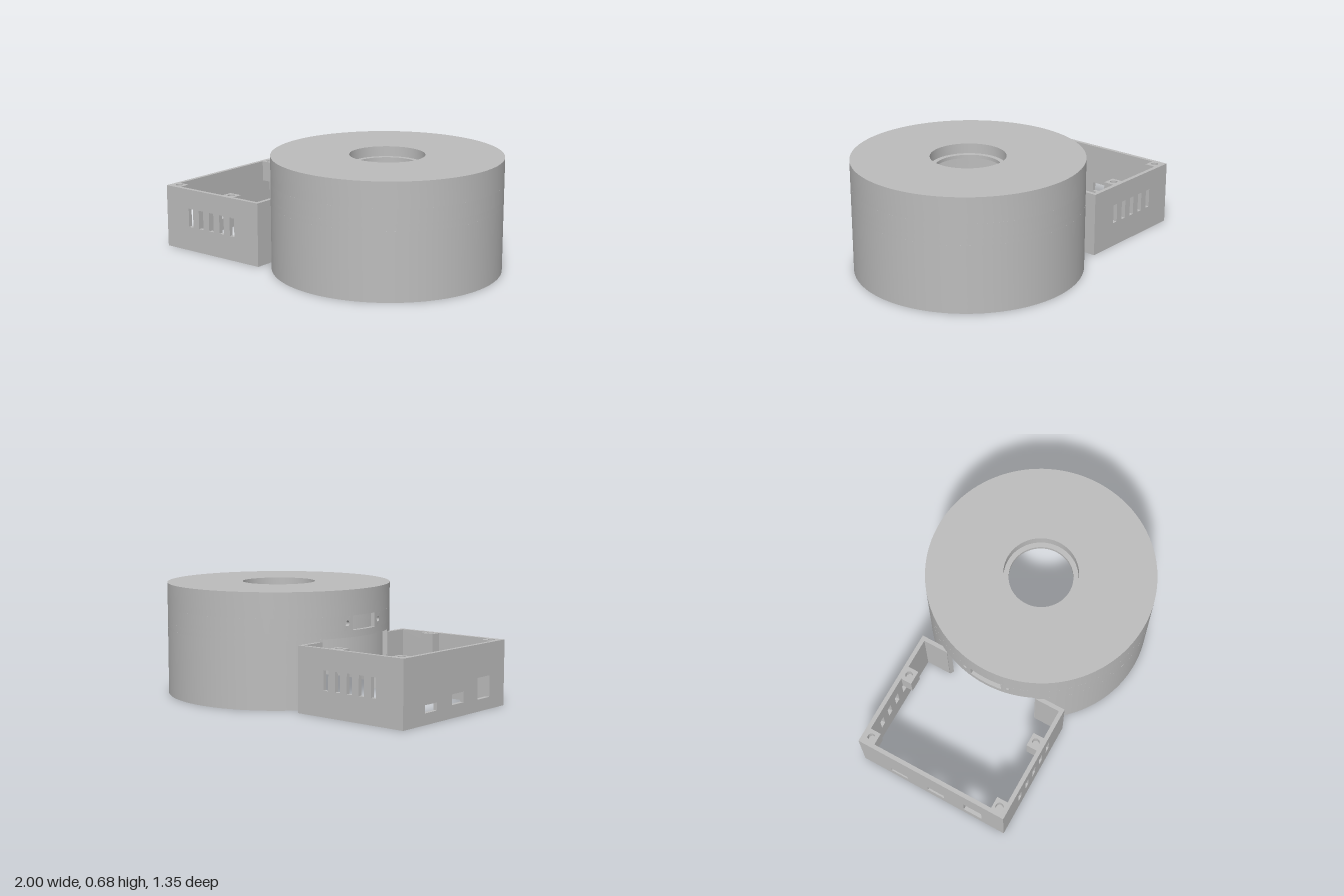
import * as THREE from 'three';
import { toCreasedNormals } from 'three/addons/utils/BufferGeometryUtils.js';

const R = 0.676, R_IN = 0.65, CX = 0.324;   // drum radii and centre
const BOX_H = 0.385, BOX_Z = 0.478, T = 0.025; // box height, half width, wall
const rad = THREE.MathUtils.degToRad;

const grey = new THREE.MeshStandardMaterial({ color: 0xbcbcbc });
grey.name = 'light grey plastic';

function add(parent, name, geometry, x = 0, y = 0, z = 0) {
  const mesh = new THREE.Mesh(geometry, grey);
  mesh.name = name;
  mesh.position.set(x, y, z);
  parent.add(mesh);
  return mesh;
}

// Closed profile turned around y
function lathe(pairs, segments) {
  const pts = pairs.map(([x, y]) => new THREE.Vector2(x, y));
  return toCreasedNormals(new THREE.LatheGeometry(pts, segments).toNonIndexed(), 0.5);
}

function rectPath(Type, x0, y0, x1, y1) {
  const p = new Type();
  p.moveTo(x0, y0);
  p.lineTo(x1, y0);
  p.lineTo(x1, y1);
  p.lineTo(x0, y1);
  p.closePath();
  return p;
}

function extrude(shape, depth, curveSegments = 24) {
  return new THREE.ExtrudeGeometry(shape, { depth, bevelEnabled: false, curveSegments });
}

// Upright plate with rectangular openings [x0, y0, x1, y1]
function plate(x0, x1, openings) {
  const shape = rectPath(THREE.Shape, x0, 0, x1, BOX_H);
  openings.forEach((o) => shape.holes.push(rectPath(THREE.Path, ...o)));
  return extrude(shape, T);
}

// Sector of the drum wall between two angles
function arcWall(a0, a1, height) {
  const shape = new THREE.Shape();
  shape.absarc(0, 0, R, a0, a1, false);
  shape.absarc(0, 0, R_IN, a1, a0, true);
  shape.closePath();
  const segments = Math.max(2, Math.ceil((a1 - a0) / rad(3.5)));
  return toCreasedNormals(extrude(shape, height, segments).rotateX(-Math.PI / 2), 0.5);
}

// Narrow wall panel with a round screw hole, bent to the drum radius
function screwPanel(a0, a1, height) {
  const mid = (a0 + a1) / 2;
  const shape = rectPath(THREE.Shape, a0 * R, 0, a1 * R, height);
  const hole = new THREE.Path();
  hole.absarc(mid * R, height / 2, 0.016, 0, Math.PI * 2, true);
  shape.holes.push(hole);
  const geo = extrude(shape, R - R_IN, 8);
  const p = geo.attributes.position;
  for (let i = 0; i < p.count; i++) {
    const a = p.getX(i) / R, r = R_IN + p.getZ(i);
    p.setXYZ(i, r * Math.sin(a), p.getY(i), r * Math.cos(a));
  }
  geo.rotateY(-Math.PI / 2); // centre of the bend faces -x
  geo.computeVertexNormals();
  return geo;
}

function buildDrum() {
  const drum = new THREE.Group();
  drum.name = 'drum';
  drum.position.x = CX;

  // Top with stepped central hole, running into the upper wall
  add(drum, 'drumTop', lathe([
    [R_IN, 0.525], [R, 0.525], [R, 0.675], [0.22, 0.675], [0.22, 0.615],
    [0.19, 0.615], [0.19, 0.595], [R_IN, 0.595], [R_IN, 0.525],
  ], 104));

  // Wall band under the connector window
  add(drum, 'drumBand', lathe([
    [R_IN, 0.4], [R, 0.4], [R, 0.44], [R_IN, 0.44], [R_IN, 0.4],
  ], 104));

  // Band with the connector window and a screw hole on either side
  const y = 0.44, h = 0.085;
  const [win, inner, outer] = [8.5, 10, 14].map(rad);
  add(drum, 'windowBand', arcWall(-Math.PI + outer, Math.PI - outer, h), 0, y, 0);
  for (const s of [-1, 1]) {
    const c = Math.PI;
    const [a, b] = s > 0 ? [c + win, c + inner] : [c - inner, c - win];
    add(drum, 'windowJamb', arcWall(a, b, h), 0, y, 0);
    const [d, e] = s > 0 ? [inner, outer] : [-outer, -inner];
    add(drum, 'screwPanel', screwPanel(d, e, h), 0, y, 0);
  }

  // Lower wall, open towards the box
  const gap = 0.45;
  add(drum, 'lowerWall', arcWall(-Math.PI + gap, Math.PI - gap, 0.4));

  // Screw posts with blind holes in the underside
  const post = lathe([
    [0, 0.12], [0.028, 0.12], [0.028, 0.01], [0.055, 0.01], [0.055, 0.155], [0, 0.155],
  ], 28);
  for (const sx of [-1, 1]) for (const sz of [-1, 1]) {
    add(drum, 'screwPost', post, sx * 0.42, 0, sz * 0.42);
  }
  return drum;
}

function buildBox() {
  const box = new THREE.Group();
  box.name = 'electronicsBox';

  // Long walls with five vent slots each
  const slots = [];
  for (let i = 0; i < 5; i++) {
    const x = -0.8 + i * 0.084;
    slots.push([x - 0.018, 0.15, x + 0.018, 0.265]);
  }
  const sideWall = plate(-1, -0.26, slots);
  add(box, 'ventWallFront', sideWall, 0, 0, BOX_Z - T);
  add(box, 'ventWallBack', sideWall, 0, 0, -BOX_Z);

  // End wall with three port openings
  const w = BOX_Z - T;
  const endWall = plate(-w, w, [
    [-0.285, 0.065, -0.175, 0.11],
    [-0.035, 0.075, 0.075, 0.135],
    [0.21, 0.07, 0.33, 0.195],
  ]).rotateY(-Math.PI / 2);
  add(box, 'portWall', endWall, -1 + T, 0, 0);

  // Corner blocks with blind screw holes, and returns joining the drum
  const bw = 0.085, bd = 0.076, blind = 0.05;
  const top = rectPath(THREE.Shape, -bw / 2, -bd / 2, bw / 2, bd / 2);
  const hole = new THREE.Path();
  hole.absarc(0, 0, 0.022, 0, Math.PI * 2, true);
  top.holes.push(hole);
  const blockTop = extrude(top, blind).rotateX(-Math.PI / 2);
  const blockBase = new THREE.BoxGeometry(bw, 0.08, bd);
  for (const s of [-1, 1]) {
    for (const x of [-0.945, -0.513]) {
      add(box, 'screwBlockTop', blockTop, x, BOX_H - blind, s * 0.424);
      add(box, 'screwBlockBase', blockBase, x, BOX_H - blind - 0.04, s * 0.424);
    }
    const len = w - 0.3;
    add(box, 'returnWall', new THREE.BoxGeometry(T, BOX_H, len),
      -0.26 - T / 2, BOX_H / 2, s * (0.3 + len / 2));
  }
  return box;
}

export function createModel() {
  const model = new THREE.Group();
  model.name = 'drumHousing';
  model.add(buildDrum(), buildBox());
  return model;
}
